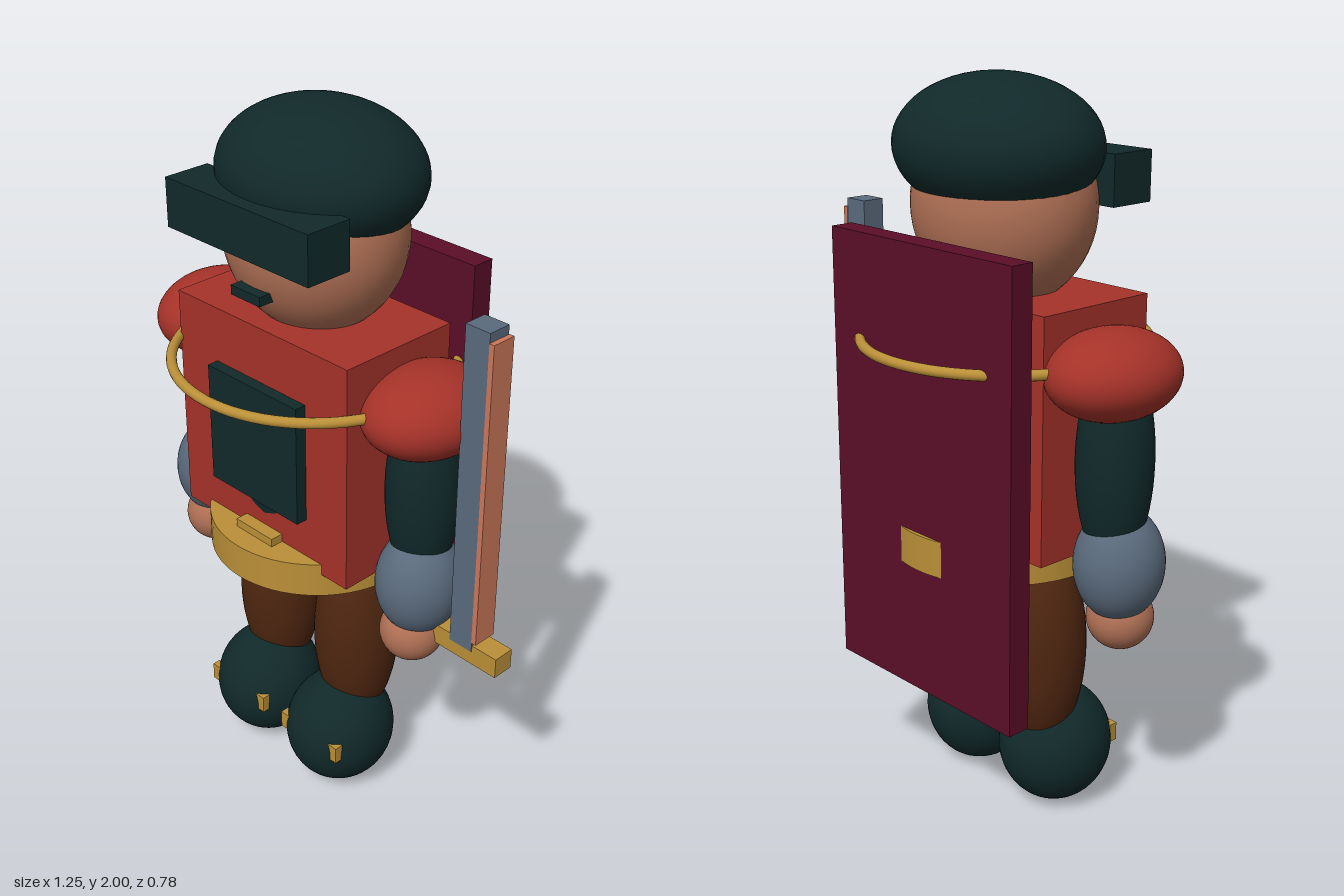
import * as THREE from 'three';

const mat = (name, color) => {
  const m = new THREE.MeshStandardMaterial({ color });
  m.name = name;
  return m;
};

export function createModel() {
  const green = mat('dark green', 0x11292a);
  const red = mat('red', 0xa53229);
  const skin = mat('skin', 0xb07055);
  const steel = mat('steel', 0x5a6a7c);
  const gold = mat('gold', 0xba8f38);
  const maroon = mat('maroon', 0x5a0e28);
  const brown = mat('brown', 0x4f2610);
  const copper = mat('copper', 0xcc7759);
  const eyeBlue = mat('eye blue', 0x35506a);

  const root = new THREE.Group();
  root.name = 'soldier';
  // the body stands off centre because the sword reaches out to one side
  const body = new THREE.Group();
  body.name = 'body';
  body.position.x = -0.077;
  const sword = new THREE.Group();
  sword.name = 'sword';
  root.add(body, sword);

  const add = (parent, name, geometry, material, x, y, z) => {
    const mesh = new THREE.Mesh(geometry, material);
    mesh.name = name;
    mesh.position.set(x, y, z);
    parent.add(mesh);
    return mesh;
  };
  const ball = (name, material, [x, y, z], [rx, ry, rz]) =>
    add(body, name, new THREE.SphereGeometry(1, 40, 28).scale(rx, ry, rz), material, x, y, z);
  // box from its lower and upper corners
  const box = (parent, name, material, [x0, y0, z0], [x1, y1, z1]) =>
    add(parent, name, new THREE.BoxGeometry(x1 - x0, y1 - y0, z1 - z0), material,
      (x0 + x1) / 2, (y0 + y1) / 2, (z0 + z1) / 2);

  // head and cap
  ball('head', skin, [0, 1.67, -0.005], [0.254, 0.265, 0.228]);
  ball('cap', green, [0, 1.82, -0.027], [0.29, 0.18, 0.25]);
  box(body, 'visor', green, [-0.256, 1.675, 0.127], [0.256, 1.807, 0.263]);
  box(body, 'mouth', green, [-0.053, 1.548, 0.19], [0.053, 1.574, 0.236]);

  // torso, chest panel and trunk underneath
  ball('trunk', green, [0, 1.05, 0], [0.305, 0.435, 0.207]);
  box(body, 'tunic', red, [-0.317, 0.812, -0.172], [0.317, 1.459, 0.195]);
  box(body, 'chestPanel', green, [-0.168, 0.96, 0.18], [0.168, 1.304, 0.228]);
  const chain = add(body, 'chain', new THREE.TorusGeometry(0.378, 0.014, 14, 80), gold, 0, 1.322, 0);
  chain.rotation.x = Math.PI / 2;

  // belt and buckle
  add(body, 'belt', new THREE.CylinderGeometry(0.302, 0.302, 0.1, 64), gold, 0, 0.794, -0.007);
  box(body, 'buckle', gold, [-0.071, 0.722, 0.19], [0.071, 0.868, 0.233]);

  // mirrored eyes, arms and legs
  for (const [side, s] of [['left', 1], ['right', -1]]) {
    ball(side + 'Eye', eyeBlue, [s * 0.087, 1.685, 0.2], [0.034, 0.034, 0.034]);
    ball(side + 'Shoulder', red, [s * 0.396, 1.305, -0.01], [0.157, 0.115, 0.188]);
    ball(side + 'UpperArm', green, [s * 0.4, 1.08, 0], [0.1, 0.29, 0.1]);
    ball(side + 'Gauntlet', steel, [s * 0.411, 0.803, 0.015], [0.116, 0.152, 0.122]);
    ball(side + 'Hand', skin, [s * 0.405, 0.648, 0.031], [0.088, 0.087, 0.089]);
    ball(side + 'Leg', brown, [s * 0.158, 0.49, -0.005], [0.121, 0.3, 0.121]);
    ball(side + 'Boot', green, [s * 0.154, 0.172, 0.055], [0.154, 0.172, 0.162]);
    const x = s * 0.154;
    box(body, side + 'BootBuckle', gold, [x - 0.114, 0.165, 0.16], [x + 0.114, 0.218, 0.185]);
  }

  // stiff cape
  box(body, 'cape', maroon, [-0.338, 0.389, -0.298], [0.338, 1.603, -0.232]);

  // sword held in the left hand
  box(sword, 'blade', steel, [0.467, 0.69, -0.03], [0.542, 1.61, 0.037]);
  box(sword, 'cuttingEdge', copper, [0.542, 0.72, -0.032], [0.557, 1.585, 0.039]);
  box(sword, 'guard', gold, [0.34, 0.65, -0.028], [0.623, 0.709, 0.035]);

  return root;
}
